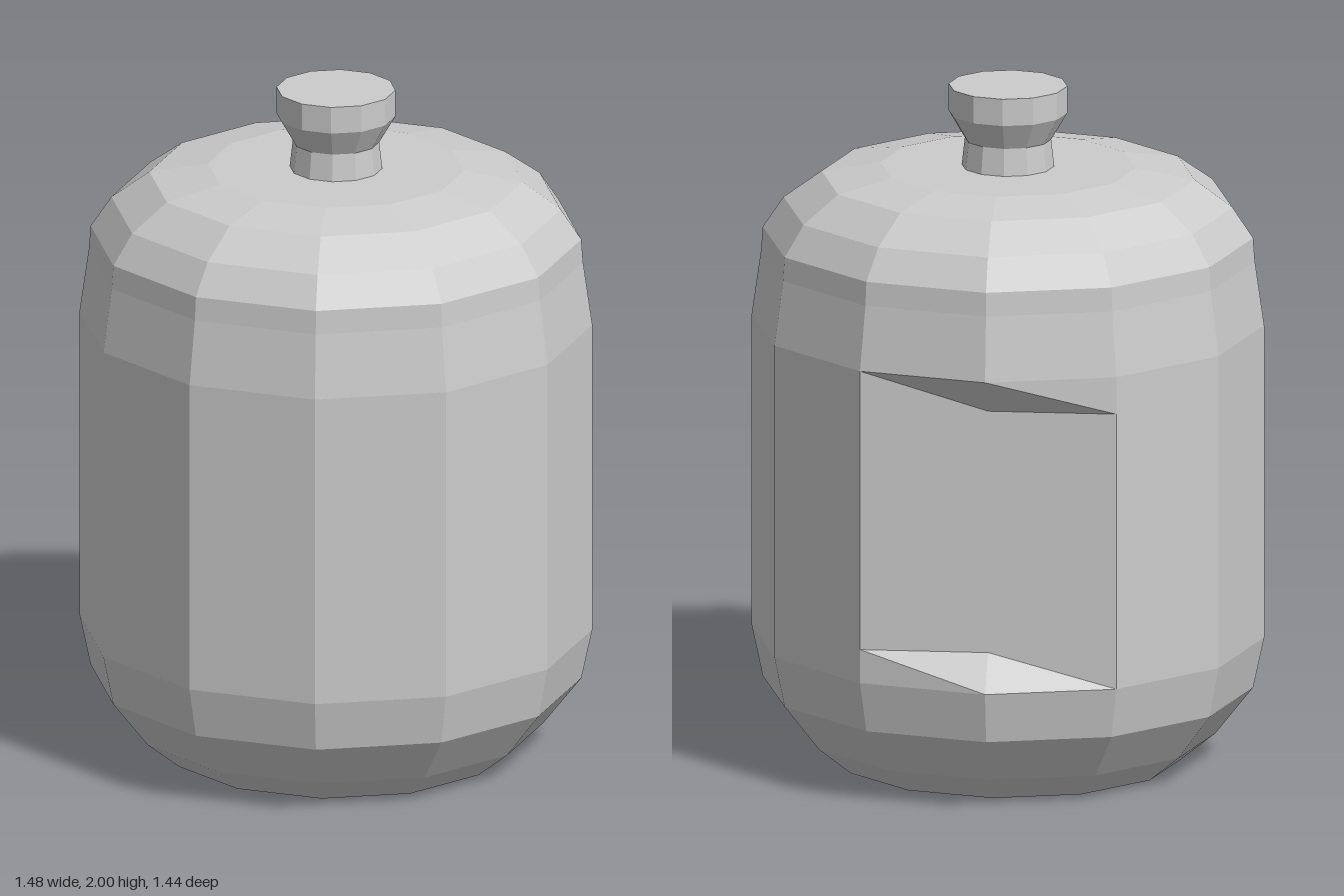
import * as THREE from 'three';

const SIDES = 12;
const DEPTH = 0.97; // slightly narrower front to back

function latheMesh(name, profile, material) {
  const points = profile.map(([r, y]) => new THREE.Vector2(r, y));
  const mesh = new THREE.Mesh(new THREE.LatheGeometry(points, SIDES), material);
  mesh.geometry.scale(1, 1, DEPTH);
  mesh.name = name;
  return mesh;
}

export function createModel() {
  const group = new THREE.Group();
  group.name = 'canister';
  const material = new THREE.MeshStandardMaterial({ color: 0xcccccc, flatShading: true });

  // Twelve-sided body with rounded shoulders, closed at both ends
  const panelBottom = 0.47, panelTop = 1.19;
  const body = latheMesh('body', [
    [0, 0], [0.5, 0], [0.6, 0.08], [0.71, 0.22], [0.742, 0.37],
    [0.742, panelBottom], [0.742, panelTop], [0.742, 1.3],
    [0.715, 1.49], [0.71, 1.56], [0.65, 1.65], [0.54, 1.73], [0.37, 1.76], [0, 1.76],
  ], material);

  // Recessed back panel: the back ridge is pushed in to the flat chord
  const pos = body.geometry.attributes.position;
  const chordZ = -0.742 * Math.cos(Math.PI / 6) * DEPTH;
  for (let i = 0; i < pos.count; i++) {
    const y = pos.getY(i);
    const onBackRidge = Math.abs(pos.getX(i)) < 0.01 && pos.getZ(i) < -0.5;
    if (onBackRidge && y > panelBottom - 0.01 && y < panelTop + 0.01) pos.setZ(i, chordZ);
  }
  body.geometry.computeVertexNormals();
  group.add(body);

  // Narrow neck flaring into a flat cap
  group.add(latheMesh('neckCap', [
    [0.135, 1.75], [0.125, 1.84], [0.172, 1.92], [0.172, 2], [0, 2],
  ], material));

  return group;
}
